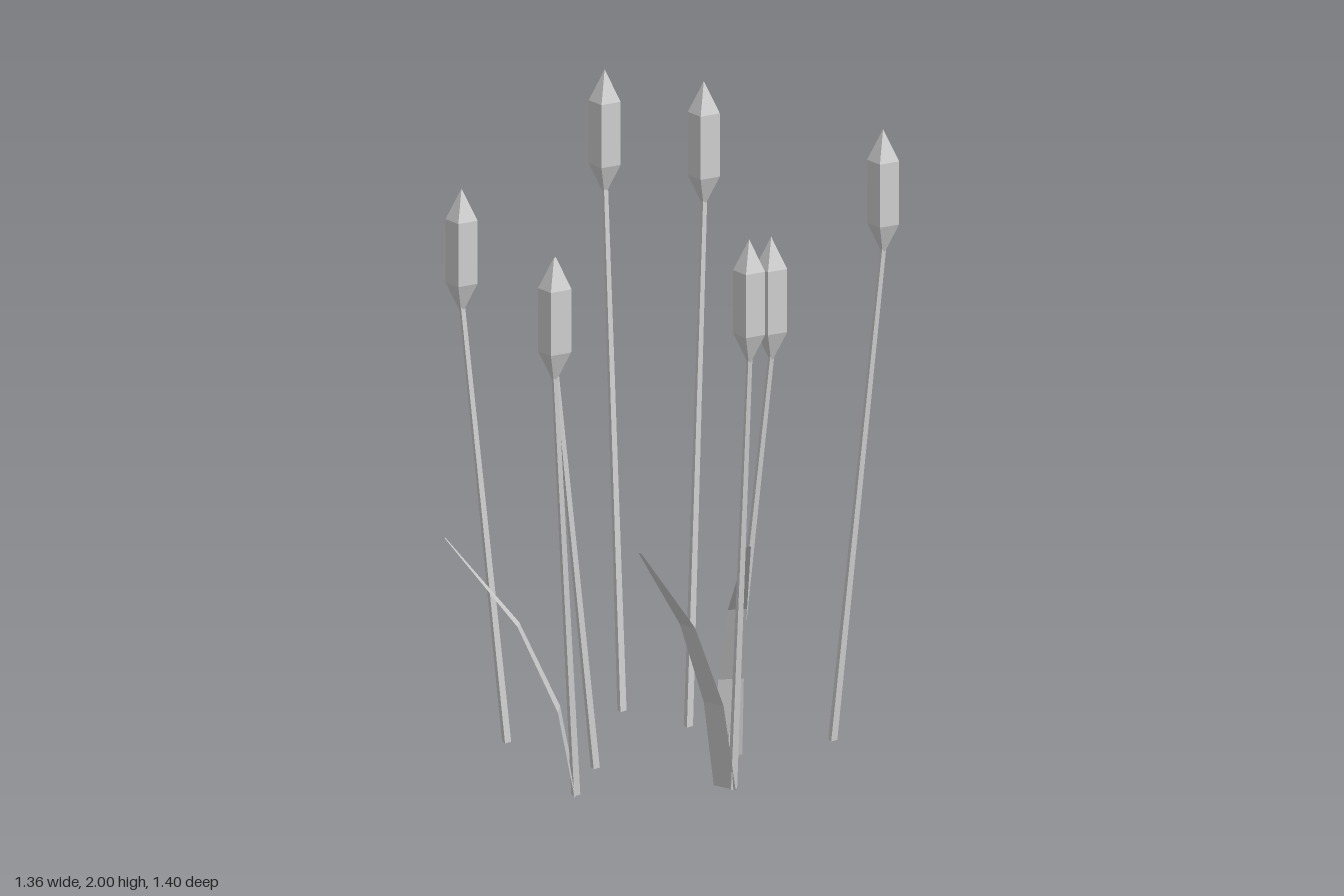
import * as THREE from 'three';

const grey = new THREE.MeshStandardMaterial({ color: 0xcccccc, flatShading: true });
grey.name = 'pale grey';
const leafGrey = grey; // one colour throughout
leafGrey.side = THREE.DoubleSide;

// base x, base z, head x, head z, tip height
const REEDS = [
  [-0.21, -0.49, -0.295, -0.655, 1.985],
  [0.025, -0.35, 0.04, -0.525, 2.0],
  [0.49, -0.275, 0.63, -0.37, 1.92],
  [-0.485, -0.06, -0.63, -0.09, 1.74],
  [0.21, -0.04, 0.345, -0.045, 1.65],
  [-0.16, 0.185, -0.265, 0.275, 1.64],
  [-0.157, 0.508, -0.195, 0.65, 1.74],
  [0.3, 0.345, 0.375, 0.455, 1.775],
];

// base x, base z, tip x, tip z, height
const LEAVES = [
  [0.212, -0.04, 0.345, 0.305, 0.76],
  [0.275, 0.335, 0.08, 0.685, 0.825],
  [-0.155, 0.506, -0.555, 0.55, 0.805],
];

// Square spindle with pointed ends
function headGeometry() {
  const profile = [[0, -0.4], [0.05, -0.3], [0.05, -0.1], [0, 0]];
  return new THREE.LatheGeometry(profile.map(([r, y]) => new THREE.Vector2(r, y)), 4);
}

// Three-sided tapered stalk, sheared so that its foot stays level
function stemGeometry(bx, bz, hx, hz, height) {
  const geo = new THREE.CylinderGeometry(0.011, 0.0165, height, 3);
  geo.translate(0, height / 2, 0);
  const p = geo.attributes.position;
  for (let i = 0; i < p.count; i++) {
    const t = p.getY(i) / height;
    p.setX(i, p.getX(i) + bx + (hx - bx) * t);
    p.setZ(i, p.getZ(i) + bz + (hz - bz) * t);
  }
  geo.computeVertexNormals();
  return geo;
}

// Flat blade of three segments, bending outward towards a narrow tip
function leafGeometry(bx, bz, tx, tz, height) {
  const sections = [[0, 0, 0.088], [0.13, 0.335, 0.08], [0.44, 0.665, 0.06], [1, 1, 0.012]];
  const dx = tx - bx, dz = tz - bz, len = Math.hypot(dx, dz);
  const pos = [], index = [];
  sections.forEach(([out, up, width], i) => {
    for (const s of [-0.5, 0.5]) {
      pos.push(bx + dx * out - (dz / len) * width * s, height * up, bz + dz * out + (dx / len) * width * s);
    }
    if (i > 0) {
      const a = 2 * i - 2;
      index.push(a, a + 2, a + 1, a + 1, a + 2, a + 3);
    }
  });
  const geo = new THREE.BufferGeometry();
  geo.setAttribute('position', new THREE.Float32BufferAttribute(pos, 3));
  geo.setIndex(index);
  geo.computeVertexNormals();
  return geo;
}

export function createModel() {
  const model = new THREE.Group();
  model.name = 'reeds';
  const add = (geo, name, parent) => {
    const mesh = new THREE.Mesh(geo, grey);
    mesh.name = name;
    parent.add(mesh);
    return mesh;
  };

  const head = headGeometry();
  REEDS.forEach(([bx, bz, hx, hz, top], i) => {
    const reed = new THREE.Group();
    reed.name = `reed${i + 1}`;
    add(stemGeometry(bx, bz, hx, hz, top - 0.37), 'stem', reed);
    add(head, 'seedHead', reed).position.set(hx, top, hz);
    model.add(reed);
  });

  LEAVES.forEach((leaf, i) => add(leafGeometry(...leaf), `leaf${i + 1}`, model));
  return model;
}
